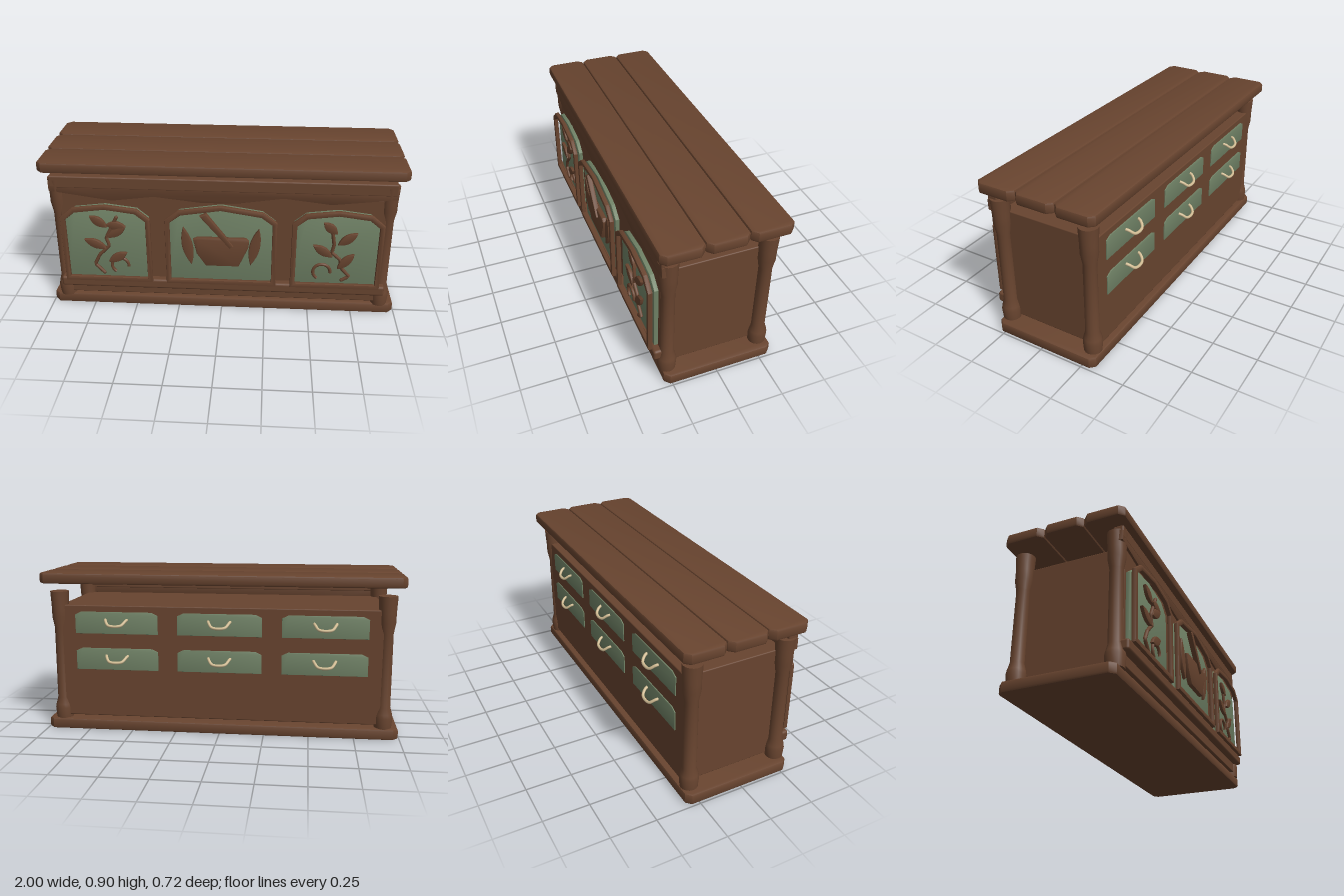
import * as THREE from 'three';
import { toCreasedNormals } from 'three/addons/utils/BufferGeometryUtils.js';
import { RoundedBoxGeometry } from 'three/addons/geometries/RoundedBoxGeometry.js';

const mat = (name, color) => {
  const m = new THREE.MeshStandardMaterial({ color });
  m.name = name;
  return m;
};

export function createModel() {
  const root = new THREE.Group();
  root.name = 'counter';
  const wood = mat('dark wood', 0x68442f);
  const green = mat('sage green', 0x6f8165);
  const horn = mat('pale horn', 0xd2bd94);

  const add = (name, geometry, material, parent = root) => {
    const mesh = new THREE.Mesh(geometry, material);
    mesh.name = name;
    parent.add(mesh);
    return mesh;
  };

  // Rounded wooden box given by its limits on each axis
  const box = (name, [x0, x1], [y0, y1], [z0, z1], r) => {
    const g = new RoundedBoxGeometry(x1 - x0, y1 - y0, z1 - z0, 2, r);
    g.translate((x0 + x1) / 2, (y0 + y1) / 2, (z0 + z1) / 2);
    add(name, g, wood);
  };

  const shapeOf = pts => new THREE.Shape(pts.map(p => new THREE.Vector2(...p)));

  // Bevelled plate from z0 to z1; the bevel stays inside the outline
  const plate = (name, shape, z0, z1, bevel, material, parent) => {
    const g = new THREE.ExtrudeGeometry(shape, {
      depth: z1 - z0 - 2 * bevel, bevelThickness: bevel,
      bevelSize: bevel, bevelOffset: -bevel, bevelSegments: 2, curveSegments: 8,
    });
    g.translate(0, 0, z0 + bevel);
    return add(name, toCreasedNormals(g, 0.6), material, parent);
  };

  // Flat board with its four corners cut in plan
  const board = (name, w, [y0, y1], [z0, z1]) => {
    const c = 0.028, s = shapeOf([[-w + c, -z1], [w - c, -z1], [w, -z1 + c], [w, -z0 - c],
      [w - c, -z0], [-w + c, -z0], [-w, -z0 - c], [-w, -z1 + c]]);
    plate(name, s, y0, y1, 0.012, wood).rotation.x = -Math.PI / 2;
  };

  // Round rod along a path, with rounded ends
  const rod = (name, path, r, material, parent) => {
    add(name, new THREE.TubeGeometry(path, 32, r, 8), material, parent);
    for (const t of [0, 1]) {
      add(name + 'End', new THREE.SphereGeometry(r, 8, 6), material, parent).position.copy(path.getPoint(t));
    }
  };

  // Base, carcass and the three top planks
  board('base', 0.992, [0, 0.062], [-0.323, 0.291]);
  box('carcass', [-0.9, 0.9], [0.08, 0.72], [-0.3, 0.29], 0.006);
  for (const z of [[0.1, 0.327], [-0.127, 0.098], [-0.357, -0.13]]) {
    board('topPlank', 1, [0.844, 0.904], z);
  }

  // Turned corner posts, thicker at both ends
  const profile = [[0, 0.055], [0.047, 0.055], [0.052, 0.12], [0.048, 0.14], [0.037, 0.18],
    [0.036, 0.59], [0.047, 0.65], [0.047, 0.7], [0.052, 0.795], [0, 0.795]];
  for (const x of [-0.91, 0.91]) {
    for (const z of [0.255, -0.27]) {
      const g = new THREE.LatheGeometry(profile.map(p => new THREE.Vector2(...p)), 16);
      add('cornerPost', toCreasedNormals(g, 0.7), wood).position.set(x, 0, z);
    }
  }

  // Front beam, wavy apron and lower rail
  box('frontBeam', [-0.945, 0.945], [0.75, 0.82], [0.248, 0.304], 0.008);
  plate('apron', shapeOf([[-0.95, 0.79], [-0.95, 0.73], [-0.6, 0.68], [-0.37, 0.71], [-0.1, 0.68],
    [0.1, 0.685], [0.34, 0.72], [0.6, 0.69], [0.95, 0.73], [0.95, 0.79]]), 0.25, 0.303, 0.006, wood);
  box('lowerRail', [-0.925, 0.925], [0.138, 0.198], [0.25, 0.33], 0.014);

  // Arched front panels: outline shrunk by i for the opening
  const arch = (cx, h, sx, peak, i) => [
    [-h + i, 0.19 + i], [h - i, 0.19 + i], [h - i, 0.59 - i * 0.5], [sx - i * 0.5, 0.65 - i],
    [0, peak - i], [-sx + i * 0.5, 0.65 - i], [-h + i, 0.59 - i * 0.5],
  ].map(([x, y]) => [x + cx, y]);
  for (const a of [[0, 0.31, 0.235, 0.685], [-0.64, 0.25, 0.18, 0.672], [0.64, 0.25, 0.18, 0.672]]) {
    plate('frontPanel', shapeOf(arch(...a, 0.012)), 0.28, 0.313, 0.005, green);
    const frame = shapeOf(arch(...a, 0));
    frame.holes.push(new THREE.Path(arch(...a, 0.027).map(p => new THREE.Vector2(...p))));
    plate('panelFrame', frame, 0.323, 0.349, 0.006, wood);
  }

  // Pointed leaf between two tips
  const leaf = (ax, ay, bx, by, w) => {
    const len = Math.hypot(bx - ax, by - ay), s = new THREE.Shape();
    s.moveTo(-len / 2, 0);
    s.quadraticCurveTo(0, w, len / 2, 0);
    s.quadraticCurveTo(0, -w, -len / 2, 0);
    const m = plate('leaf', s, 0.314, 0.335, 0.006, wood);
    m.position.set((ax + bx) / 2, (ay + by) / 2, 0);
    m.rotation.z = Math.atan2(by - ay, bx - ax);
  };

  // Mortar, pestle and two leaves on the middle panel
  plate('mortar', shapeOf([[-0.155, 0.475], [-0.13, 0.487], [0.14, 0.487], [0.157, 0.47],
    [0.153, 0.43], [0.1, 0.31], [-0.085, 0.31], [-0.135, 0.385]]), 0.314, 0.345, 0.01, wood);
  plate('pestle', shapeOf([[-0.115, 0.625], [-0.08, 0.643], [0.07, 0.445], [0.05, 0.43]]),
    0.328, 0.358, 0.006, wood);
  leaf(-0.21, 0.545, -0.165, 0.31, 0.06);
  leaf(0.21, 0.545, 0.165, 0.315, 0.06);

  // Sprigs on the side panels: stem, leaves and a curl
  const sprigs = [
    { stem: [[-0.58, 0.59], [-0.645, 0.46], [-0.63, 0.41], [-0.69, 0.35], [-0.72, 0.29], [-0.67, 0.235]],
      leaves: [[-0.73, 0.595, -0.635, 0.53], [-0.64, 0.465, -0.53, 0.535], [-0.77, 0.45, -0.645, 0.395],
        [-0.64, 0.31, -0.53, 0.37], [-0.64, 0.545, -0.53, 0.535]], curl: -0.575 },
    { stem: [[0.61, 0.55], [0.625, 0.46], [0.615, 0.41], [0.665, 0.365], [0.675, 0.31], [0.72, 0.26],
      [0.68, 0.235]],
    leaves: [[0.56, 0.595, 0.64, 0.53], [0.645, 0.46, 0.75, 0.535], [0.51, 0.455, 0.62, 0.385],
      [0.65, 0.31, 0.74, 0.405]], curl: 0.565 },
  ];
  for (const { stem, leaves, curl } of sprigs) {
    const path = new THREE.CurvePath();
    const v = stem.map(([x, y]) => new THREE.Vector3(x, y, 0.322));
    for (let i = 1; i < v.length; i++) path.add(new THREE.LineCurve3(v[i - 1], v[i]));
    rod('stem', path, 0.01, wood);
    for (const l of leaves) leaf(...l, 0.052);
    const arc = add('curl', new THREE.TorusGeometry(0.048, 0.009, 8, 20, Math.PI * 1.35), wood);
    arc.position.set(curl, 0.285, 0.322);
    arc.rotation.z = -0.1;
  }

  // Back drawers with bent handles
  const drawer = shapeOf([[-0.235, -0.062], [0.235, -0.062], [0.235, 0.045], [0.2, 0.062],
    [-0.2, 0.062], [-0.235, 0.045]]);
  const handle = new THREE.CatmullRomCurve3([[-0.062, 0.02, 0], [-0.056, 0.014, 0.02],
    [-0.034, -0.008, 0.044], [0.034, -0.008, 0.044], [0.056, 0.014, 0.02], [0.062, 0.02, 0],
  ].map(p => new THREE.Vector3(...p)));
  for (const x of [-0.58, 0, 0.58]) {
    for (const y of [0.622, 0.415]) {
      const unit = new THREE.Group();
      unit.name = 'drawer';
      plate('drawerFront', drawer, -0.003, 0.006, 0.002, green, unit);
      rod('drawerHandle', handle, 0.008, horn, unit);
      unit.position.set(x, y, -0.2995);
      unit.rotation.y = Math.PI;
      root.add(unit);
    }
  }

  return root;
}
